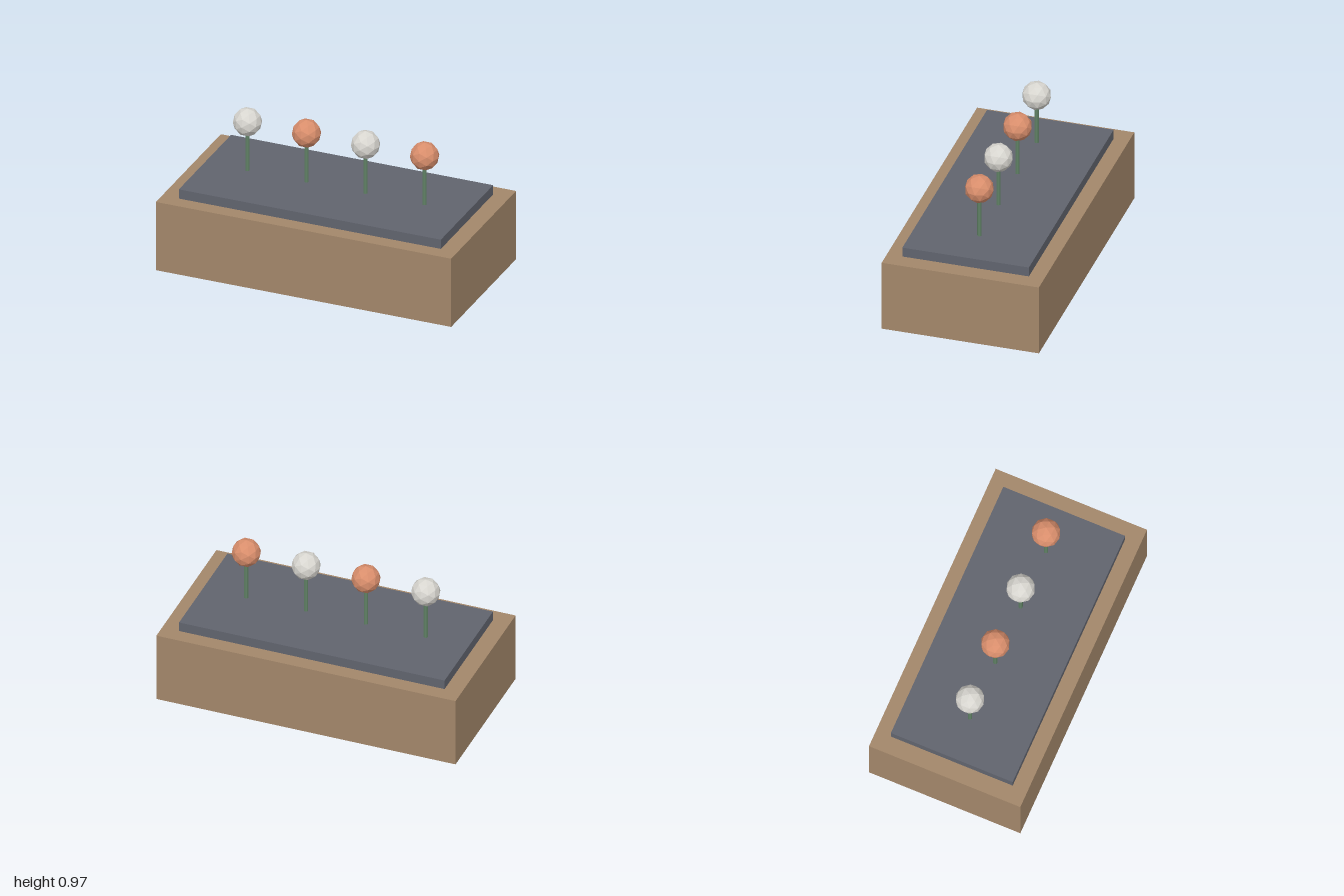
import * as THREE from 'three';

const material = (name, color) => {
  const m = new THREE.MeshStandardMaterial({ color, flatShading: true });
  m.name = name;
  return m;
};

export function createModel() {
  const wood = material('wood brown', 0xa3876a);
  const soil = material('slate soil', 0x61646e);
  const green = material('stem green', 0x5f8064);
  const white = material('blossom white', 0xd8d6d0);
  const coral = material('blossom coral', 0xd98e6c);

  const model = new THREE.Group();
  model.name = 'flowerPlanter';

  const add = (parent, name, geometry, mat, x, y, z) => {
    const mesh = new THREE.Mesh(geometry, mat);
    mesh.name = name;
    mesh.position.set(x, y, z);
    parent.add(mesh);
  };

  // Planter box with a raised bed of soil
  const boxTop = 0.475, soilTop = 0.539;
  add(model, 'planterBox', new THREE.BoxGeometry(2, boxTop, 1.025), wood, 0, boxTop / 2, 0);
  add(model, 'soilBed', new THREE.BoxGeometry(1.775, soilTop - boxTop, 0.825), soil, 0, (soilTop + boxTop) / 2, 0);

  // Row of four flowers in alternating colours
  const bloomY = 0.877, stemBase = 0.5;
  const stemGeometry = new THREE.CylinderGeometry(0.014, 0.014, bloomY - stemBase, 8);
  const bloomGeometry = new THREE.IcosahedronGeometry(0.0925, 1);
  for (let i = 0; i < 4; i++) {
    const flower = new THREE.Group();
    flower.name = 'flower' + (i + 1);
    flower.position.x = -0.6 + i * 0.4;
    add(flower, 'stem', stemGeometry, green, 0, (bloomY + stemBase) / 2, 0);
    add(flower, 'bloom', bloomGeometry, i % 2 ? coral : white, 0, bloomY, 0);
    model.add(flower);
  }
  return model;
}
